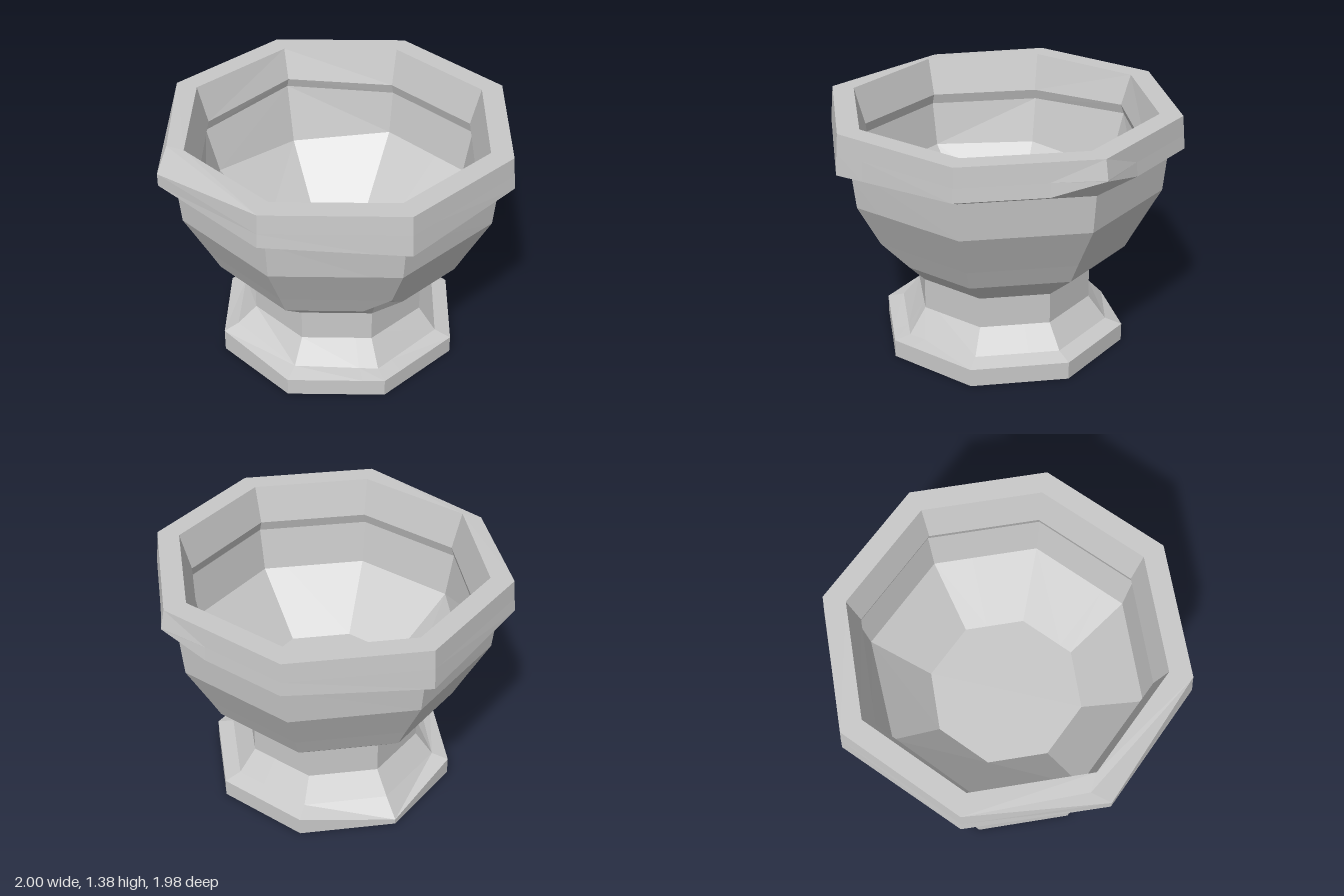
import * as THREE from 'three';

// Columns round the octagon, in eighths of a turn (0 = +x, 2 = front).
// Fractions are extra columns on the flat sides beside the chipped corners.
const COLUMNS = [0, 0.37, 1, 1.77, 2, 2.23, 3, 4, 5, 6, 7, 7.63];

// One octagonal ring: r, y, dip = drop of the front and back corners,
// chips = { column: [x, y, z] } for corners knocked out of place.
function ring(r, y, chips = {}, dip = 0) {
  const corner = (k) => {
    const a = (k * Math.PI) / 4;
    return new THREE.Vector3(r * Math.cos(a), y - (k % 4 === 2 ? dip : 0), r * Math.sin(a));
  };
  return COLUMNS.map((t) => {
    const k = Math.floor(t);
    const chipped = chips[t] !== undefined;
    const p = chipped ? new THREE.Vector3(...chips[t]) : corner(k).lerp(corner(k + 1), t - k);
    return { p, chipped };
  });
}

// Faceted skin over successive rings; diagonals are turned to leave chips crisp.
function skin(name, rings, material) {
  const pos = [];
  const tri = (a, b, c) => {
    const area = b.p.clone().sub(a.p).cross(c.p.clone().sub(a.p)).length();
    if (area > 1e-7) for (const v of [a, b, c]) pos.push(v.p.x, v.p.y, v.p.z);
  };
  for (let j = 0; j < rings.length - 1; j++) {
    for (let i = 0; i < COLUMNS.length; i++) {
      const n = (i + 1) % COLUMNS.length;
      const a = rings[j][i], b = rings[j][n], c = rings[j + 1][n], d = rings[j + 1][i];
      if (c.chipped || (a.chipped && !d.chipped)) {
        tri(a, d, b);
        tri(d, c, b);
      } else {
        tri(a, d, c);
        tri(a, c, b);
      }
    }
  }
  const geometry = new THREE.BufferGeometry();
  geometry.setAttribute('position', new THREE.Float32BufferAttribute(pos, 3));
  geometry.computeVertexNormals();
  const mesh = new THREE.Mesh(geometry, material);
  mesh.name = name;
  return mesh;
}

export function createModel() {
  const stone = new THREE.MeshStandardMaterial({ color: 0xc8c8c8 });
  stone.name = 'pale grey stone';

  // Rings shared by neighbouring parts
  const stemBottom = ring(0.5, 0.255);
  const stemTop = ring(0.5, 0.43);
  const bowlTop = ring(0.905, 1.16, {}, 0.043);
  const lipEdge = ring(0.79, 1.175, { 6: [0, 1.21, -0.79] });

  const group = new THREE.Group();
  group.name = 'stoneBowl';
  group.add(
    // Foot, with a raised left corner and a worn back corner
    skin('foot', [
      ring(0, 0),
      ring(0.695, 0),
      ring(0.695, 0.1, { 4: [-0.695, 0.13, 0], 6: [0, 0.03, -0.695] }),
      ring(0.6, 0.127, { 4: [-0.61, 0.165, 0], 6: [0, 0.13, -0.6] }, 0.015),
      stemBottom,
    ], stone),
    skin('stem', [stemBottom, stemTop], stone),
    // Bowl, with a notch low on the front corner
    skin('bowl', [
      stemTop,
      ring(0.695, 0.59, { 2: [-0.02, 0.59, 0.605] }),
      ring(0.757, 0.71),
      ring(0.885, 0.95),
      bowlTop,
    ], stone),
    // Rim, chipped under the +x corner and on top of the -x corner
    skin('rim', [
      bowlTop,
      ring(0.992, 1.2, { 0: [0.997, 1.27, 0], 4: [-1, 1.2, 0] }, 0.043),
      ring(0.984, 1.275, { 0: [0.997, 1.275, 0], 4: [-1, 1.27, 0] }),
      ring(0.975, 1.38, { 4: [-0.92, 1.375, -0.08] }),
      ring(0.85, 1.38),
      lipEdge,
    ], stone),
    // Hollow inside, undercut below the lip
    skin('interior', [
      lipEdge,
      ring(0.81, 1.115, { 6: [0, 1.155, -0.81] }),
      ring(0.765, 0.87, { 5: [-0.52, 0.865, -0.52], 6: [0, 0.83, -0.72] }),
      ring(0.44, 0.56),
      ring(0, 0.56),
    ], stone),
  );
  return group;
}
